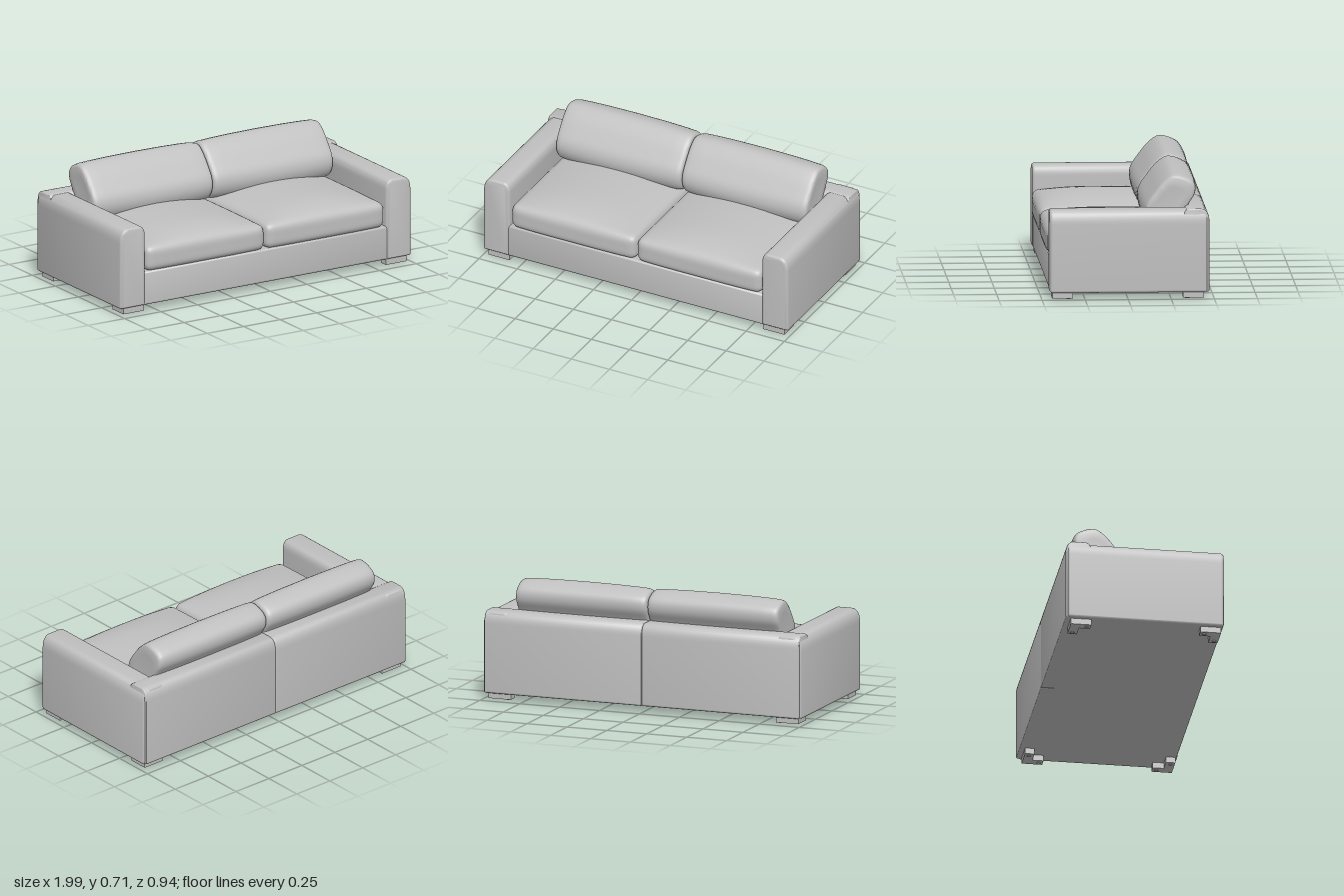
import * as THREE from 'three';
import { mergeVertices, toCreasedNormals } from 'three/addons/utils/BufferGeometryUtils.js';

const fabric = new THREE.MeshStandardMaterial({ color: 0xc0c0c0 });
fabric.name = 'greyFabric';

function add(parent, name, geometry, x = 0, y = 0, z = 0) {
  const mesh = new THREE.Mesh(geometry, fabric);
  mesh.name = name;
  mesh.position.set(x, y, z);
  parent.add(mesh);
  return mesh;
}

// Upright panel outline from a to b, with a rounded top and small bottom corners
function panelShape(a, b, bottom, top, ra, rb) {
  const c = 0.012;
  const s = new THREE.Shape();
  s.moveTo(a + c, bottom);
  s.lineTo(b - c, bottom);
  s.quadraticCurveTo(b, bottom, b, bottom + c);
  s.lineTo(b, top - rb * 1.5);
  s.bezierCurveTo(b, top - rb * 0.5, b - rb * 0.4, top, b - rb, top);
  s.lineTo(a + ra, top);
  s.bezierCurveTo(a + ra * 0.4, top, a, top - ra * 0.5, a, top - ra * 1.5);
  s.lineTo(a, bottom + c);
  s.quadraticCurveTo(a, bottom, a + c, bottom);
  return s;
}

// Extrusion with softened ends that keeps the outline's full size
function softExtrude(shape, length, bevel) {
  const g = new THREE.ExtrudeGeometry(shape, {
    depth: length - 2 * bevel, curveSegments: 8, bevelEnabled: true,
    bevelThickness: bevel, bevelSize: bevel, bevelOffset: -bevel, bevelSegments: 4,
  });
  g.translate(0, 0, bevel);
  return toCreasedNormals(g, 0.7);
}

// Rounded box with a crowned top and a bowed front
function seatCushionGeometry(w, h, d, r, crown, bow) {
  const g = new THREE.BoxGeometry(2, 2, 2, 28, 14, 28);
  const half = new THREE.Vector3(w / 2, h / 2, d / 2);
  const inner = half.clone().subScalar(r);
  const pos = g.attributes.position;
  const p = new THREE.Vector3(), core = new THREE.Vector3();
  for (let i = 0; i < pos.count; i++) {
    p.fromBufferAttribute(pos, i);
    // crowd the grid towards the edges
    p.set(...p.toArray().map(v => Math.sin(v * Math.PI / 2))).multiply(half);
    core.copy(p).clamp(inner.clone().negate(), inner);
    p.sub(core).setLength(r).add(core);
    const u = p.x / half.x, v = p.z / half.z;
    p.y += crown * (1 - u * u) * (1 - v ** 4) * (p.y / h + 0.5);
    p.z += bow * (1 - u ** 4) * Math.max(0, v) ** 3;
    pos.setXYZ(i, p.x, p.y, p.z);
  }
  g.deleteAttribute('uv');
  g.deleteAttribute('normal');
  const merged = mergeVertices(g, 1e-5);
  merged.computeVertexNormals();
  return merged;
}

// Leaning pillow: one side profile (z, y) lofted across x and closed at both ends
function backCushionGeometry(halfWidth) {
  const profile = [
    [-0.28, 0.708], [-0.215, 0.668], [-0.15, 0.59], [-0.105, 0.52], [-0.098, 0.46], [-0.125, 0.40],
    [-0.19, 0.37], [-0.27, 0.38], [-0.32, 0.44], [-0.37, 0.53], [-0.405, 0.59], [-0.408, 0.64], [-0.385, 0.675],
  ];
  const curve = new THREE.CatmullRomCurve3(
    profile.map(([z, y]) => new THREE.Vector3(0, y, z)), true);
  const ring = curve.getPoints(52).slice(0, 52);
  const cz = -0.25, cy = 0.55;
  // distance in from the end, scale of the section there
  const end = [[0.006, 0], [0.002, 0.5], [0, 0.82], [0.004, 0.88], [0.015, 0.925], [0.035, 0.95], [0.1, 0.97], [0.22, 0.99]];
  const stations = [
    ...end.map(([t, s]) => [-halfWidth + t, s]), [0, 1],
    ...end.map(([t, s]) => [halfWidth - t, s]).reverse(),
  ];
  const n = ring.length, verts = [], index = [];
  for (const [x, s] of stations)
    for (const q of ring) verts.push(x, cy + (q.y - cy) * s, cz + (q.z - cz) * s);
  for (let i = 0; i < stations.length - 1; i++)
    for (let j = 0; j < n; j++) {
      const a = i * n + j, b = i * n + (j + 1) % n;
      index.push(a, a + n, b, b, a + n, b + n);
    }
  const g = new THREE.BufferGeometry();
  g.setAttribute('position', new THREE.Float32BufferAttribute(verts, 3));
  g.setIndex(index);
  // the profile runs over the top towards the front, so check and fix the winding
  g.computeVertexNormals();
  const top = 8 * n;
  if (g.attributes.normal.getY(top) < 0) {
    for (let i = 0; i < index.length; i += 3) [index[i], index[i + 1]] = [index[i + 1], index[i]];
    g.setIndex(index);
  }
  return toCreasedNormals(g, 0.75);
}

// L-shaped corner foot, outer corner at the origin, legs along -x and -z
function footGeometry() {
  const w = 0.14, d = 0.12, t = 0.055;
  const s = new THREE.Shape([[0, 0], [0, d], [-t, d], [-t, t], [-w, t], [-w, 0]]
    .map(([x, y]) => new THREE.Vector2(x, y)));
  const g = new THREE.ExtrudeGeometry(s, { depth: 0.04, bevelEnabled: false });
  g.rotateX(-Math.PI / 2);
  return g;
}

export function createModel() {
  const sofa = new THREE.Group();
  sofa.name = 'sofa';

  // Base: front rail and underside
  const rail = panelShape(-0.45, 0.4, 0.04, 0.24, 0.012, 0.012);
  const base = softExtrude(rail, 1.68, 0.005);
  base.rotateY(Math.PI / 2);
  add(sofa, 'base', base, -0.84);

  const seat = seatCushionGeometry(0.818, 0.15, 0.79, 0.042, 0.057, 0.012);
  const pillow = backCushionGeometry(0.409);
  const foot = footGeometry();
  const glide = new THREE.CylinderGeometry(0.012, 0.012, 0.008, 12);

  for (const side of [-1, 1]) {
    const label = side > 0 ? 'left' : 'right';

    // Arm: tighter rounding on the inner top edge
    const arm = side > 0
      ? panelShape(0.826, 0.997, 0.04, 0.521, 0.04, 0.055)
      : panelShape(-0.997, -0.826, 0.04, 0.521, 0.055, 0.04);
    add(sofa, label + 'Arm', softExtrude(arm, 0.915, 0.018), 0, 0, -0.46);

    // Half of the back; the pair meet in a shallow centre seam
    const back = softExtrude(panelShape(0.32, 0.472, 0.04, 0.526, 0.04, 0.05), 0.985, 0.008);
    back.rotateY(Math.PI / 2);
    add(sofa, label + 'Back', back, side > 0 ? 0 : -0.985);

    add(sofa, label + 'SeatCushion', seat, side * 0.411, 0.312, 0.06);
    add(sofa, label + 'BackCushion', pillow, side * 0.412);

    // Feet at the corners, each on two small glides
    for (const end of [-1, 1]) {
      const corner = new THREE.Group();
      corner.name = label + (end > 0 ? 'FrontFoot' : 'BackFoot');
      corner.position.set(side * 0.97, 0.005, end * 0.44);
      // rotate rather than mirror, so faces keep their direction
      const swap = side * end < 0;
      const geo = swap ? foot.clone() : foot;
      if (swap) {
        geo.scale(-1, 1, 1);
        const p = geo.attributes.position;
        for (let i = 0; i < p.count; i += 3) {
          const a = [p.getX(i), p.getY(i), p.getZ(i)];
          p.setXYZ(i, p.getX(i + 1), p.getY(i + 1), p.getZ(i + 1));
          p.setXYZ(i + 1, ...a);
        }
        geo.computeVertexNormals();
      }
      const mesh = add(corner, 'footBlock', geo);
      if (end < 0) mesh.rotation.y = Math.PI;
      for (const [x, z] of [[-0.115, -0.025], [-0.025, -0.095]])
        add(corner, 'glide', glide, x * side, -0.001, z * end);
      sofa.add(corner);
    }
  }
  return sofa;
}
